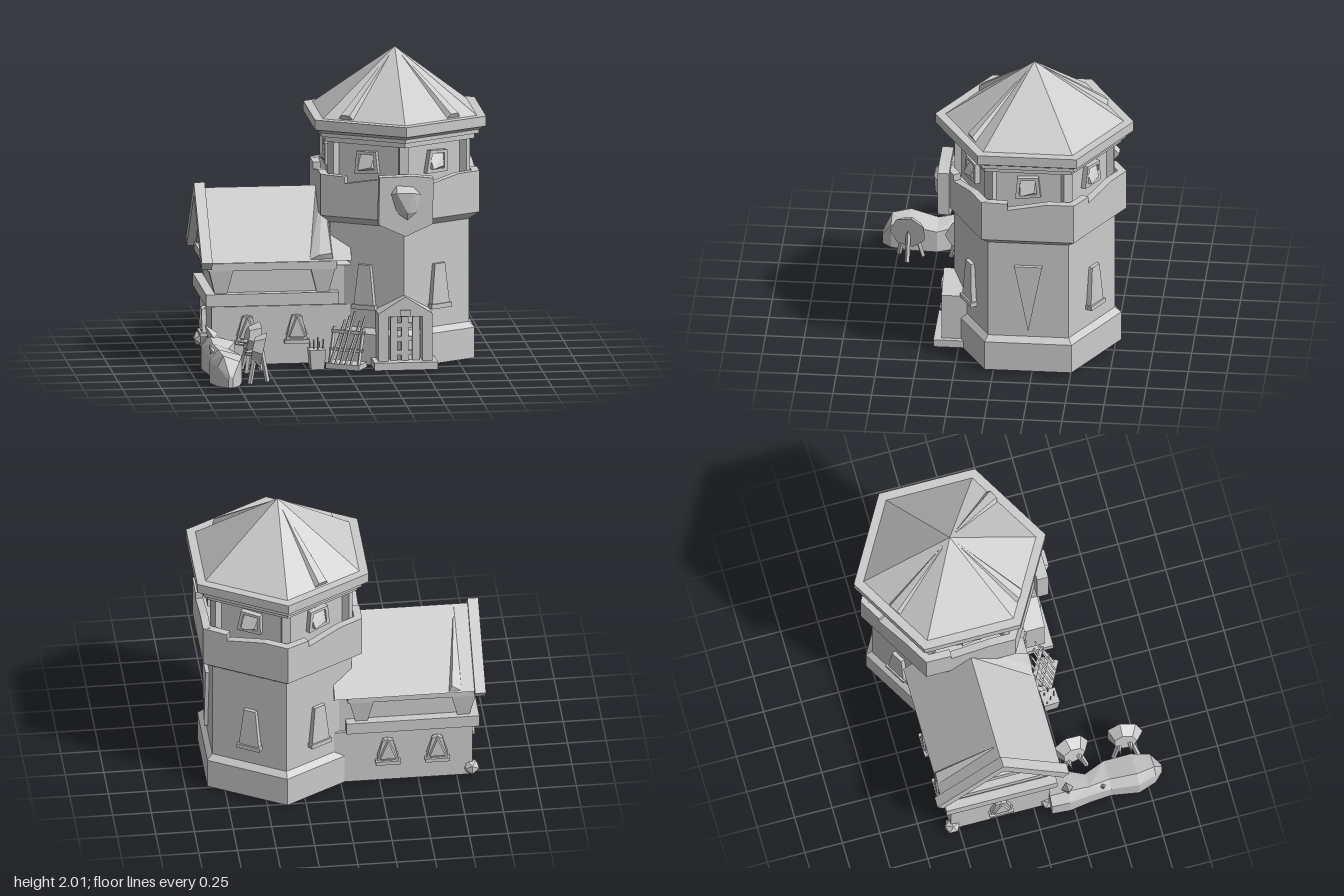
import * as THREE from 'three';
import { ConvexGeometry } from 'three/addons/geometries/ConvexGeometry.js';

const mat = new THREE.MeshStandardMaterial({ color: 0xcccccc, flatShading: true, side: THREE.DoubleSide });
const CX = 0.375, CZ = -0.225, DEG = Math.PI / 180;

function add(parent, name, geo, x = 0, y = 0, z = 0) {
  const m = new THREE.Mesh(geo, mat);
  m.name = name;
  m.position.set(x, y, z);
  parent.add(m);
  return m;
}
function group(parent, name, x = 0, y = 0, z = 0, ry = 0) {
  const g = new THREE.Group();
  g.name = name;
  g.position.set(x, y, z);
  g.rotation.y = ry;
  parent.add(g);
  return g;
}
const box = (w, h, d) => new THREE.BoxGeometry(w, h, d);
const pts = (a) => a.map((p) => new THREE.Vector2(p[0], p[1]));
function plate(outline, depth, hole) {
  const s = new THREE.Shape(pts(outline));
  if (hole) s.holes.push(new THREE.Path(pts(hole)));
  return new THREE.ExtrudeGeometry(s, { depth, bevelEnabled: false });
}
// Profile in (z, y) extruded from x0 to x1
const alongX = (outline, x0, x1) => plate(outline, x1 - x0).rotateY(-Math.PI / 2).translate(x1, 0, 0);
const hull = (a) => new ConvexGeometry(a.map((p) => new THREE.Vector3(...p)));
// Straight rod between two points
function rod(parent, name, a, b, r, sides = 4) {
  const A = new THREE.Vector3(...a), B = new THREE.Vector3(...b);
  const d = B.clone().sub(A);
  const m = add(parent, name, new THREE.CylinderGeometry(r, r, d.length(), sides));
  m.position.copy(A).add(B).multiplyScalar(0.5);
  m.quaternion.setFromUnitVectors(new THREE.Vector3(0, 1, 0), d.normalize());
}

// Hexagonal tower, corners on +z and -z
function buildTower(root) {
  const t = group(root, 'tower', CX, 0, CZ);
  const hex = (name, r0, r1, y0, y1) =>
    add(t, name, new THREE.CylinderGeometry(r1, r0, y1 - y0, 6), 0, (y0 + y1) / 2, 0);
  hex('towerBase', 0.56, 0.56, 0, 0.2);
  hex('baseBevel', 0.56, 0.52, 0.2, 0.235);
  hex('towerBody', 0.52, 0.52, 0.235, 0.91);
  hex('parapetFlare', 0.52, 0.595, 0.91, 0.96);
  hex('parapetFloor', 0.58, 0.58, 0.96, 1.15);
  hex('watchRoom', 0.485, 0.485, 1.15, 1.46);
  hex('eavesLower', 0.59, 0.59, 1.475, 1.5);
  hex('eavesUnder', 0.56, 0.56, 1.44, 1.475);
  hex('eavesFlare', 0.59, 0.635, 1.5, 1.525);
  hex('eavesSlab', 0.64, 0.64, 1.525, 1.59);
  hex('roofCone', 0.575, 0, 1.59, 2.0);

  for (let i = 0; i < 6; i++) {
    const angle = 30 + 60 * i;
    const f = group(t, 'towerFace', 0, 0, 0, angle * DEG);
    // Parapet wall with a chipped, sloping top
    add(f, 'parapetWall', plate([[-0.2975, 0.96], [0.2975, 0.96], [0.2975, 1.23], [0.13, 1.23],
      [-0.13, 1.18], [-0.13, 1.225], [-0.2975, 1.23]], 0.05), 0, 0, 0.465);
    // Corner post
    const c = group(f, 'corner', 0, 0, 0, 30 * DEG);
    add(c, 'cornerPost', box(0.06, 0.3, 0.05), 0, 1.31, 0.49);
    // Leaning watch window
    const w = group(f, 'watchWindow', 0, 1.24, 0.425);
    w.rotation.z = i % 2 ? 0.04 : -0.06;
    add(w, 'watchFrame', plate([[-0.085, 0], [0.08, 0.01], [0.07, 0.15], [-0.065, 0.15]], 0.035,
      [[-0.06, 0.03], [0.055, 0.03], [0.05, 0.13], [-0.045, 0.13]]));
    add(w, 'watchShutter', hull([[-0.06, 0.02, 0], [0.06, 0.02, 0], [0.05, 0.13, 0], [-0.05, 0.13, 0],
      [-0.05, 0.03, 0.06], [0.04, 0.05, 0.05], [0.05, 0.12, 0.02]]));
    if (angle === 90) {
      add(f, 'wallPennant', plate([[-0.09, 0.75], [0, 0.28], [0.09, 0.75]], 0.03), 0, 0, 0.445);
    } else if (angle !== 270) {
      // Tapered window with sill
      const s = angle < 180 ? 1 : -1;
      add(f, 'towerWindow', hull([[-0.075, 0.37, 0.44], [0.075, 0.37, 0.44], [0.045, 0.65, 0.44], [-0.045, 0.65, 0.44],
        [-0.07, 0.38, 0.485], [0.07, 0.38, 0.485], [0.04, 0.65, 0.475], [-0.04, 0.65, 0.475]])).position.x = 0.01 * s;
      add(f, 'windowSill', box(0.16, 0.03, 0.06), 0.01 * s, 0.375, 0.465);
    }
  }
  // Raised slats on the roof: face angle and sideways offset
  for (const [angle, c] of [[30, 0.105], [-30, -0.13], [210, -0.01]]) {
    const f = group(t, 'roofSlat', 0, 0, 0, angle * DEG);
    add(f, 'slat', hull([[0, 1.995, 0], [c - 0.05, 1.595, 0.49], [c + 0.05, 1.595, 0.49],
      [c + 0.03, 1.625, 0.505], [c - 0.03, 1.625, 0.505]]));
  }
}

function buildShield(root) {
  const s = group(root, 'shield', CX, 0, 0.31);
  add(s, 'shieldPlate', plate([[-0.175, 0.95], [0, 0.87], [0.175, 0.95], [0.18, 1.25], [0.05, 1.265],
    [-0.17, 1.26]], 0.075));
  add(s, 'shieldBoss', hull([[-0.1, 1.15, 0.07], [-0.06, 1.21, 0.07], [0.05, 1.2, 0.07], [0.105, 1.14, 0.07],
    [0.08, 1.03, 0.07], [0.01, 0.97, 0.07], [-0.06, 1.02, 0.07], [-0.06, 1.16, 0.11], [0.05, 1.16, 0.11], [0.01, 1.03, 0.105]]));
}

function buildDoor(root) {
  const d = group(root, 'doorway', CX, 0, 0);
  add(d, 'doorFrame', plate([[-0.175, 0], [0.175, 0], [0.175, 0.36], [0, 0.47], [-0.175, 0.36]], 0.19,
    [[-0.11, 0.04], [0.11, 0.04], [0.11, 0.34], [-0.11, 0.34]]), 0, 0, 0.17);
  add(d, 'doorStep', box(0.41, 0.05, 0.28), 0, 0.025, 0.27);
  add(d, 'keystone', box(0.07, 0.04, 0.03), 0, 0.365, 0.36);
  for (const x of [-0.07, 0, 0.07]) add(d, 'doorPlank', box(0.045, 0.29, 0.03), x, 0.19, 0.325);
  for (const y of [0.1, 0.19, 0.28]) add(d, 'doorBar', box(0.18, 0.03, 0.02), 0, y, 0.325);
}

function buildHouse(root) {
  const h = group(root, 'house', 0, 0, CZ);
  const slab = (name, x0, x1, y0, y1, hz) => add(h, name, box(x1 - x0, y1 - y0, 2 * hz), (x0 + x1) / 2, (y0 + y1) / 2, 0);
  slab('houseWall', -0.85, 0.05, 0, 0.38, 0.33);
  slab('houseBand', -0.89, -0.03, 0.39, 0.47, 0.37);
  slab('upperWall', -0.83, 0.05, 0.38, 0.66, 0.31);
  slab('eavesBeam', -0.88, -0.04, 0.62, 0.67, 0.36);
  // Pitched roof and gable
  add(h, 'gableWall', alongX([[-0.34, 0.64], [0.34, 0.64], [0, 1.03]], -0.82, 0.05));
  add(h, 'roof', alongX([[-0.4, 0.68], [-0.34, 0.67], [0, 1.03], [0.34, 0.67], [0.4, 0.68], [0, 1.1]], -0.87, 0.05));
  add(h, 'gableTrim', alongX([[-0.44, 0.69], [-0.4, 0.64], [0, 1.05], [0.4, 0.64], [0.44, 0.69], [0, 1.135]], -0.925, -0.855));
  add(h, 'gableTie', box(0.04, 0.05, 0.42), -0.85, 0.8, 0);
  // Loose boards on the roof
  add(h, 'frontRoofBoard', hull([[-0.14, 1.08, 0.02], [-0.08, 1.08, 0.02], [-0.22, 0.69, 0.39], [-0.07, 0.69, 0.39],
    [-0.1, 1.1, 0.06], [-0.08, 0.73, 0.4], [-0.16, 0.72, 0.4]]));
  add(h, 'backRoofBoard', hull([[-0.77, 1.09, 0], [-0.76, 1.08, -0.03], [-0.77, 0.69, -0.395], [-0.69, 0.69, -0.395],
    [-0.71, 0.73, -0.395]]));
  for (const s of [-1, 1]) {
    // Flared brackets under the eaves
    for (const x of [-0.79, -0.13]) add(h, 'eavesBracket', hull([[x - 0.08, 0.63, s * 0.36], [x + 0.08, 0.63, s * 0.36],
      [x - 0.04, 0.47, s * 0.34], [x + 0.04, 0.47, s * 0.34], [x - 0.08, 0.63, s * 0.28], [x + 0.08, 0.63, s * 0.28],
      [x - 0.04, 0.47, s * 0.28], [x + 0.04, 0.47, s * 0.28]]));
    // Rough corner stones
    add(h, 'cornerStone', new THREE.IcosahedronGeometry(0.055, 0), -0.845, 0.05, s * 0.32);
  }
  // Hooded windows: position and facing
  for (const [x, z, a] of [[-0.3, 0.33, 0], [-0.62, 0.33, 0], [-0.3, -0.33, 180], [-0.62, -0.33, 180], [-0.85, 0, -90]]) {
    const w = group(h, 'houseWindow', x, 0.14, z, a * DEG);
    add(w, 'windowFrame', plate([[-0.075, 0], [0.075, 0], [0.035, 0.17], [0, 0.185], [-0.035, 0.17]], 0.03,
      [[-0.045, 0.03], [0.045, 0.03], [0.02, 0.14], [-0.02, 0.14]]));
    add(w, 'windowHood', hull([[-0.03, 0.18, 0], [0.03, 0.18, 0], [-0.07, 0.05, 0], [0.07, 0.05, 0],
      [-0.05, 0.04, 0.04], [0.05, 0.04, 0.04], [0, 0.17, 0.04]]));
    add(w, 'windowLedge', box(0.16, 0.025, 0.05), 0, 0.01, 0.02);
  }
}

// Craggy bank of earth, lofted along z from arrow-shaped sections
function buildBank(root) {
  const rows = [[0.1, -0.92, -0.72, 0.2], [0.22, -0.93, -0.71, 0.22], [0.36, -0.91, -0.77, 0.2], [0.5, -0.9, -0.71, 0.18],
    [0.68, -0.93, -0.72, 0.22], [0.8, -0.89, -0.75, 0.2], [0.86, -0.83, -0.8, 0.08]];
  const b = group(root, 'earthBank');
  const sec = ([z, x0, x1, y]) => [[x0, 0, z], [x1, 0, z], [x1, y * 0.8, z], [x0 * 0.75 + x1 * 0.25, y, z], [x0, y * 0.65, z]];
  for (let i = 0; i + 1 < rows.length; i++) add(b, 'bankSection', hull([...sec(rows[i]), ...sec(rows[i + 1])]));
  for (const [y, z] of [[0.06, 0.3], [0.16, 0.45], [0.05, 0.6], [0.25, 0.22]])
    add(b, 'bankSpike', new THREE.ConeGeometry(0.04, 0.1, 4), -0.88, y, z).rotation.z = 0.6;
}

// Practice targets on splayed legs, facing sideways
function buildTarget(root, z, turn) {
  const g = group(root, 'practiceTarget', -0.615, 0, z, turn);
  const disc = add(g, 'targetDisc', new THREE.CylinderGeometry(0.075, 0.12, 0.07, 7), 0, 0.21, 0);
  disc.rotation.z = Math.PI / 2 - 0.2;
  for (const s of [-1, 1]) rod(g, 'frontLeg', [-0.01, 0.22, s * 0.03], [-0.05, 0, s * 0.08], 0.016);
  rod(g, 'backLeg', [0.02, 0.22, 0], [0.06, 0, 0], 0.016);
  for (const [y, d] of [[0.2, 0.03], [0.17, -0.04]]) {
    const a = add(g, 'targetSpike', new THREE.ConeGeometry(0.022, 0.09, 4), -0.06, y, d);
    a.rotation.z = Math.PI / 2;
  }
}

function buildProps(root) {
  // Crate of sticks
  const c = group(root, 'stickCrate', -0.19, 0, 0.285, 0.05);
  add(c, 'crate', new THREE.CylinderGeometry(0.075, 0.06, 0.13, 4).rotateY(Math.PI / 4), 0, 0.065, 0);
  for (let i = 0; i < 5; i++) {
    const x = -0.035 + 0.018 * i, z = 0.03 * ((i % 3) - 1);
    rod(c, 'stick', [x, 0.1, z], [x * 1.2, 0.17 + 0.02 * (i % 3), z], 0.005);
  }
  // Rack of leaning spears
  const r = group(root, 'spearRack', 0, 0, 0.3, -28 * DEG);
  add(r, 'rackBase', box(0.23, 0.035, 0.14), 0, 0.02, 0);
  add(r, 'rackRail', box(0.23, 0.02, 0.025), 0, 0.23, -0.04);
  add(r, 'rackLowRail', box(0.23, 0.02, 0.025), 0, 0.12, 0.0);
  for (const x of [-0.1, 0.1]) rod(r, 'rackPost', [x, 0, 0.05], [x, 0.26, -0.05], 0.012);
  for (let i = 0; i < 5; i++) {
    const x = -0.07 + 0.035 * i;
    rod(r, 'spear', [x - 0.02, 0.03, 0.06], [x + 0.03, 0.3 + 0.03 * (i % 3), -0.08], 0.008);
  }
}

export function createModel() {
  const root = new THREE.Group();
  root.name = 'watchtower';
  buildTower(root);
  buildShield(root);
  buildDoor(root);
  buildHouse(root);
  buildBank(root);
  buildTarget(root, 0.32, 0.1);
  buildTarget(root, 0.67, -0.15);
  buildProps(root);
  return root;
}
